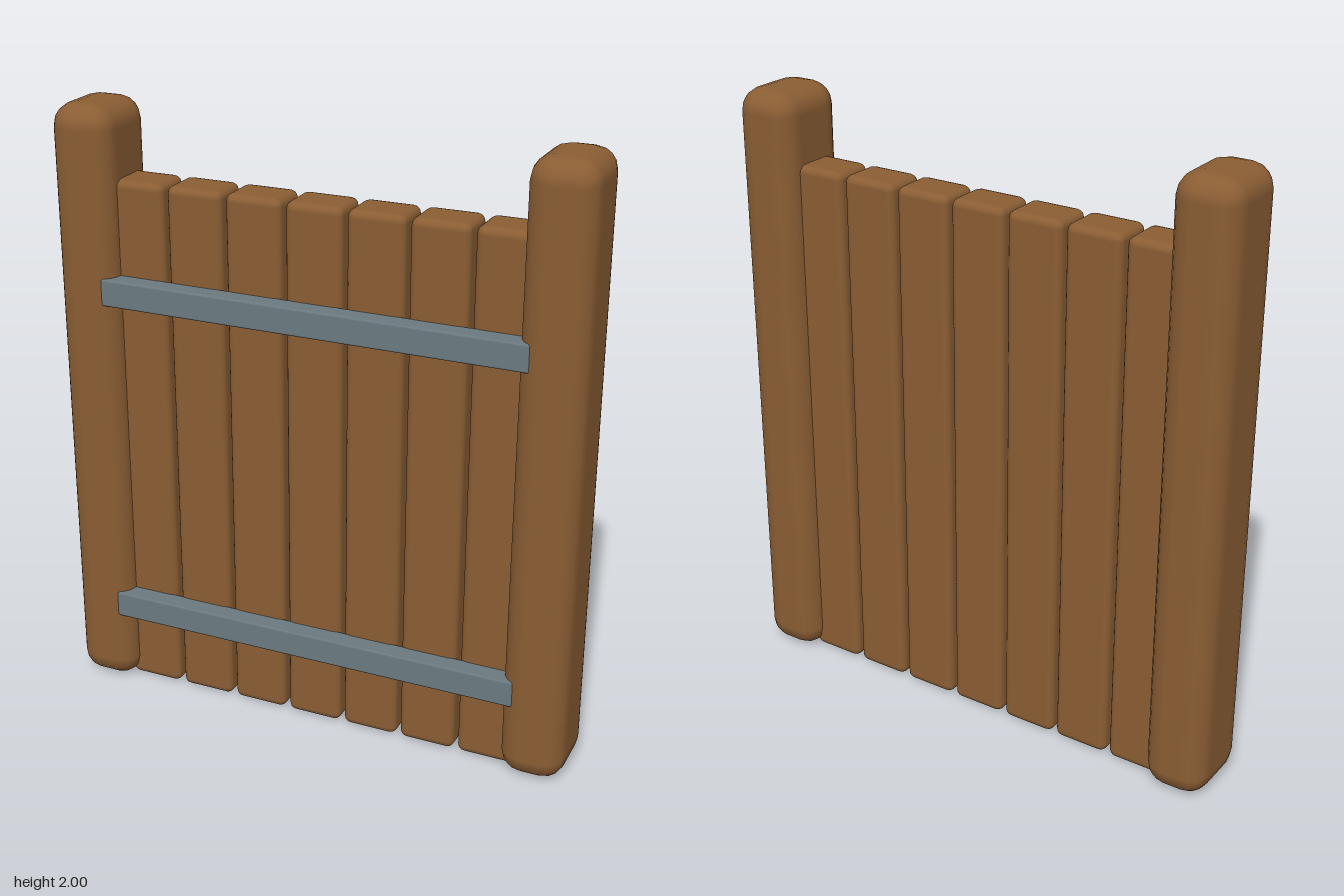
import * as THREE from 'three';
import { RoundedBoxGeometry } from 'three/addons/geometries/RoundedBoxGeometry.js';

export function createModel() {
  const gate = new THREE.Group();
  gate.name = 'gate';

  const wood = new THREE.MeshStandardMaterial({ color: 0x8b5e34 });
  wood.name = 'wood';
  const iron = new THREE.MeshStandardMaterial({ color: 0x6b7a80 });
  iron.name = 'iron';

  // Rounded block placed by its centre
  const block = (name, material, size, radius, segments, position) => {
    const mesh = new THREE.Mesh(new RoundedBoxGeometry(...size, segments, radius), material);
    mesh.name = name;
    mesh.position.set(...position);
    gate.add(mesh);
  };

  // Chunky side posts
  for (const [side, name] of [[1, 'leftPost'], [-1, 'rightPost']]) {
    block(name, wood, [0.21, 2, 0.28], 0.075, 2, [side * 0.765, 1, 0]);
  }

  // Seven upright planks with narrow gaps
  for (let i = 0; i < 7; i++) {
    block(`plank${i + 1}`, wood, [0.186, 1.765, 0.15], 0.025, 2, [(i - 3) * 0.2, 0.8855, 0]);
  }

  // Iron straps across the front
  block('lowerStrap', iron, [1.41, 0.09, 0.07], 0.008, 1, [0, 0.3, 0.1]);
  block('upperStrap', iron, [1.41, 0.09, 0.07], 0.008, 1, [0, 1.415, 0.1]);

  return gate;
}
